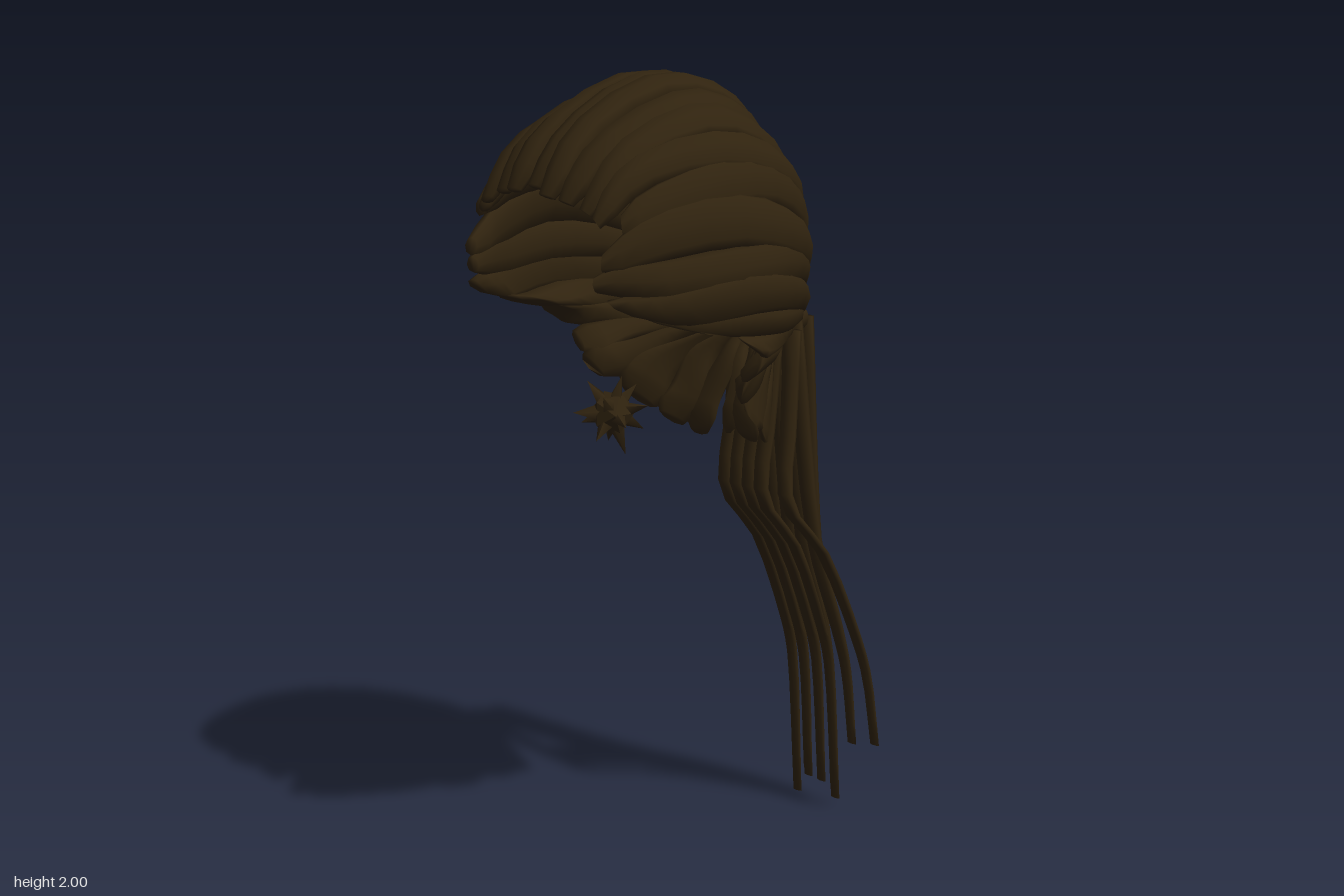
import * as THREE from 'three';

const hair = new THREE.MeshStandardMaterial({ color: 0x30230f, side: THREE.DoubleSide });
hair.name = 'darkBrownHair';

const V = (x, y, z) => new THREE.Vector3(x, y, z);
const SIDES = 8;

// small repeatable random numbers
let seed = 7;
const rand = () => (seed = (seed * 16807) % 2147483647) / 2147483647;

// closed skin over a list of equal rings
function loft(rings) {
  const pos = [], idx = [], n = SIDES, last = rings.length - 1;
  rings.forEach(r => r.forEach(p => pos.push(p.x, p.y, p.z)));
  for (let i = 0; i < last; i++) {
    for (let j = 0; j < n; j++) {
      const a = i * n + j, b = i * n + (j + 1) % n;
      idx.push(a, b, a + n, b, b + n, a + n);
    }
  }
  for (let j = 1; j < n - 1; j++) {
    idx.push(0, j + 1, j, last * n, last * n + j, last * n + j + 1);
  }
  const g = new THREE.BufferGeometry();
  g.setAttribute('position', new THREE.Float32BufferAttribute(pos, 3));
  g.setIndex(idx);
  g.computeVertexNormals();
  return g;
}

function add(group, name, geometry) {
  const m = new THREE.Mesh(geometry, hair);
  m.name = name;
  group.add(m);
  return m;
}

// guide line from the hairline to the tie
const guide = (...points) => new THREE.CatmullRomCurve3(points);
const guides = [
  // crown
  guide(V(0, 1.72, .5), V(0, 1.87, .39), V(0, 1.99, .13), V(0, 1.93, -.08), V(0, 1.7, -.225), V(0, 1.4, -.26)),
  // temple
  guide(V(.22, 1.67, .48), V(.25, 1.78, .38), V(.29, 1.84, .13), V(.26, 1.76, -.08), V(.16, 1.6, -.2), V(.03, 1.39, -.26)),
  // side
  guide(V(.25, 1.5, .48), V(.33, 1.49, .35), V(.39, 1.51, .13), V(.32, 1.49, -.07), V(.19, 1.44, -.18), V(.03, 1.38, -.25)),
  // ear
  guide(V(.38, 1.38, .14), V(.32, 1.38, 0), V(.22, 1.38, -.12), V(.03, 1.38, -.25)),
  // nape
  guide(V(.27, 1.25, .1), V(.2, 1.31, -.05), V(.03, 1.37, -.24)),
  guide(V(.17, 1.1, -.09), V(.12, 1.26, -.16), V(.03, 1.36, -.24)),
  guide(V(0, 1.1, -.11), V(0, 1.27, -.175), V(0, 1.36, -.24)),
];

// cross-curve over the whole scalp at v, from one side of the nape round to the other
function acrossAt(v) {
  const half = guides.map(g => g.getPoint(v));
  const other = half.slice(1).reverse().map(p => V(-p.x, p.y, p.z));
  return new THREE.CatmullRomCurve3([...other, ...half], false, 'catmullrom', .5);
}

// lock position u (-8 to 8) to cross-curve parameter; the upper guides lie twice as far apart
function acrossParam(u) {
  const a = Math.min(Math.abs(u), 8);
  return (6 + Math.sign(u) * (a < 4 ? a / 2 : a - 2)) / 12;
}

// one flattened lock lying on the scalp
function scalpLock(u) {
  const start = Math.abs(u) === 2.5 ? .1 : rand() * .04;
  const lift = rand() * .012 - .003, steps = 14, rings = [];
  for (let i = 0; i <= steps; i++) {
    const v = start + (1 - start) * i / steps;
    const curve = acrossAt(v), ring = [];
    const taper = i === 0 ? .6 : 1;
    const sway = .07 * Math.sin(v * 9 + u * 5);
    for (let j = 0; j < SIDES; j++) {
      const t = j / SIDES * Math.PI * 2;
      const w = u + (sway - Math.cos(t) * .33) * taper;
      const p = curve.getPoint(acrossParam(w));
      const out = p.clone().sub(V(0, 1.5, .08)).normalize();
      ring.push(p.addScaledVector(out, (Math.sin(t) - .8) * .024 * taper + lift));
    }
    rings.push(ring);
  }
  return loft(rings);
}

// [height, depth] routes of the tail strands, by layer
const routes = {
  back: [[1.38, -.34], [.85, -.385], [.55, -.435]],
  middle: [[1.41, -.275], [.8, -.35], [.55, -.43]],
  bowed: [[1.36, -.235], [1.12, -.215], [.93, -.2], [.78, -.32], [.55, -.425]],
};

function tailStrand(layer, xTop, xTip, yTip) {
  const route = [...routes[layer], [.42, -.465], [yTip, -.51 + yTip * .12]];
  const curve = new THREE.CatmullRomCurve3(route.map(([y, z]) => {
    const s = Math.max(0, (1.41 - y) / (1.41 - yTip));
    return V(xTop + (xTip - xTop) * Math.pow(s, 1.4), y, z);
  }), false, 'centripetal');
  const rings = [];
  for (let i = 0; i <= 16; i++) {
    const c = curve.getPoint(i / 16), ring = [];
    const w = .026 - .01 * i / 16, d = .02 - .014 * i / 16;
    for (let j = 0; j < SIDES; j++) {
      const t = j / SIDES * Math.PI * 2;
      ring.push(V(c.x + Math.cos(t) * w, c.y, c.z + Math.sin(t) * d));
    }
    rings.push(ring);
  }
  return loft(rings);
}

export function createModel() {
  const model = new THREE.Group();
  model.name = 'ponytailHair';

  // swept-back locks covering the head
  const cap = new THREE.Group();
  cap.name = 'scalpLocks';
  for (let k = -15; k <= 16; k++) add(cap, 'scalpLock', scalpLock(k * .5));
  model.add(cap);

  // long tail: each layer fans evenly, with two stray strands on the left
  const tail = new THREE.Group();
  tail.name = 'ponytail';
  for (const layer of Object.keys(routes)) {
    for (let i = 0; i < 4; i++) {
      const yTip = i % 2 ? .1 * rand() : .03 * i;
      add(tail, 'tailStrand', tailStrand(layer, -.08 + i * .043, -.125 + i * .05, yTip));
    }
  }
  add(tail, 'strayStrand', tailStrand('middle', .07, .105, .21));
  add(tail, 'strayStrand', tailStrand('bowed', .11, .19, .23));
  model.add(tail);

  // wrapped knot holding the tail
  const knot = new THREE.Group();
  knot.name = 'hairTie';
  const knotLoop = (position, scale) => {
    const m = add(knot, 'knotLoop', new THREE.SphereGeometry(1, 10, 8));
    m.position.copy(position);
    m.scale.copy(scale);
  };
  knotLoop(V(0, 1.4, -.32), V(.06, .03, .035));
  knotLoop(V(0, 1.36, -.27), V(.07, .05, .04));
  for (const s of [-1, 1]) knotLoop(V(s * .047, 1.38, -.29), V(.045, .04, .05));
  model.add(knot);

  // small spiky chin tuft
  const tuft = new THREE.Group();
  tuft.name = 'chinTuft';
  tuft.position.set(0, 1.2, .255);
  add(tuft, 'tuftCore', new THREE.IcosahedronGeometry(.055, 0));
  for (let i = 0; i < 14; i++) {
    const y = 1 - 2 * (i + .5) / 14, r = Math.sqrt(1 - y * y), t = i * 2.4;
    const dir = V(r * Math.cos(t), y, r * Math.sin(t));
    const len = .06 + rand() * .03;
    const spike = add(tuft, 'tuftSpike', new THREE.ConeGeometry(.025, len, 4));
    spike.quaternion.setFromUnitVectors(V(0, 1, 0), dir);
    spike.position.copy(dir).multiplyScalar(.02 + len / 2);
  }
  model.add(tuft);

  return model;
}
